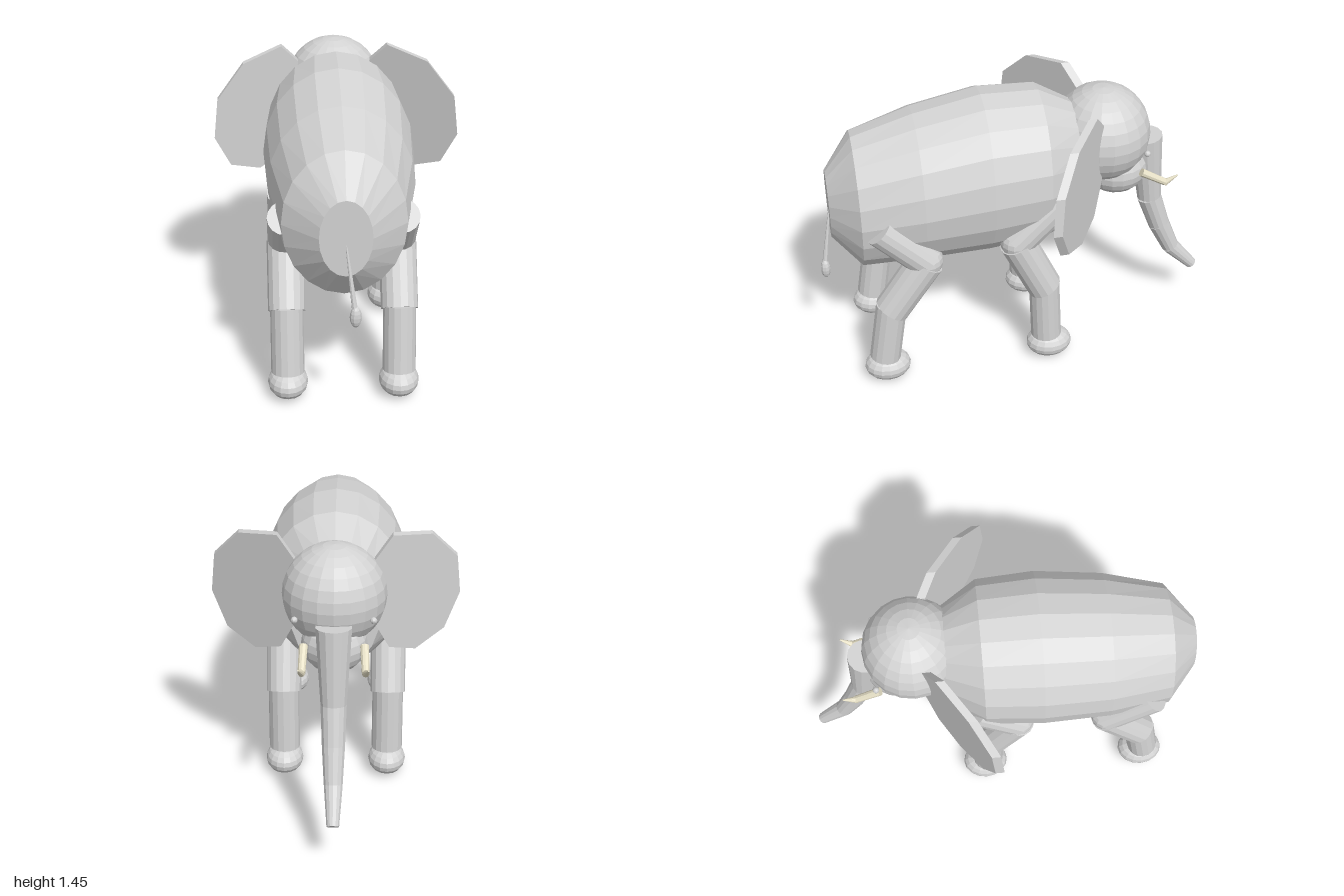
import * as THREE from 'three';

const skin = new THREE.MeshStandardMaterial({ color: 0xd3d3d3 });
skin.name = 'grey skin';
const ivory = new THREE.MeshStandardMaterial({ color: 0xfff8dc });
ivory.name = 'ivory';

const V = (x, y, z) => new THREE.Vector3(x, y, z);

// Faceted mesh: split vertices so that every face has its own normal
function facet(parent, name, geometry, material = skin) {
  const g = geometry.index ? geometry.toNonIndexed() : geometry;
  g.computeVertexNormals();
  const mesh = new THREE.Mesh(g, material);
  mesh.name = name;
  parent.add(mesh);
  return mesh;
}

// Tapered cylinder from point a (radius ra) to point b (radius rb)
function limb(parent, name, a, b, ra, rb, sides = 16, material = skin) {
  const dir = b.clone().sub(a);
  const mesh = facet(parent, name, new THREE.CylinderGeometry(rb, ra, dir.length(), sides), material);
  mesh.position.copy(a).add(b).multiplyScalar(0.5);
  mesh.quaternion.setFromUnitVectors(V(0, 1, 0), dir.normalize());
}

function ellipsoid(parent, name, center, rx, ry, rz, w = 16, h = 10) {
  const mesh = facet(parent, name, new THREE.SphereGeometry(1, w, h).scale(rx, ry, rz));
  mesh.position.copy(center);
}

// Barrel body lofted through elliptical rings, closed at both ends
function bodyGeometry() {
  // z, half width, top, bottom
  const rings = [
    [0.935, 0.12, 1.12, 0.75], [0.80, 0.285, 1.30, 0.59], [0.50, 0.345, 1.39, 0.605],
    [0.17, 0.365, 1.455, 0.615], [-0.11, 0.345, 1.445, 0.64], [-0.30, 0.22, 1.34, 0.69],
  ];
  const n = 20, pos = [], idx = [];
  for (const [z, rx, top, bottom] of rings) {
    for (let i = 0; i < n; i++) {
      const a = (i / n) * Math.PI * 2;
      pos.push(rx * Math.sin(a), (top + bottom) / 2 + ((top - bottom) / 2) * Math.cos(a), z);
    }
  }
  for (let r = 0; r < rings.length - 1; r++) {
    for (let i = 0; i < n; i++) {
      const a = r * n + i, b = r * n + ((i + 1) % n);
      idx.push(a, b, a + n, b, b + n, a + n);
    }
  }
  const last = (rings.length - 1) * n;
  for (let i = 1; i < n - 1; i++) {
    idx.push(0, i + 1, i);
    idx.push(last, last + i, last + i + 1);
  }
  const g = new THREE.BufferGeometry();
  g.setAttribute('position', new THREE.Float32BufferAttribute(pos, 3));
  g.setIndex(idx);
  return g;
}

// Ear plate slanting backwards as it leaves the head; side is +1 or -1
function addEar(parent, side) {
  const depth = 0.043, slant = 0.714;
  const outline = [
    [-0.12, 0.315], [0.07, 0.27], [0.2, 0.115], [0.22, -0.08], [0.145, -0.25],
    [0, -0.315], [-0.13, -0.26], [-0.205, -0.1], [-0.22, 0.09], [-0.205, 0.215],
  ];
  const pts = outline.map(([x, y]) => new THREE.Vector2(side * x, y));
  const g = new THREE.ExtrudeGeometry(new THREE.Shape(pts), { depth, bevelEnabled: false });
  g.translate(0, 0, -depth / 2);
  g.applyMatrix4(new THREE.Matrix4().set(1, 0, 0, 0, 0, 1, 0, 0, side * slant, 0, 1, 0, 0, 0, 0, 1));
  const ear = facet(parent, side > 0 ? 'leftEar' : 'rightEar', g);
  ear.position.set(side * 0.39, 1.1, -0.225);
}

// Three-part leg with a rounded foot; joints are [y, z] from the top down
function addLeg(parent, name, x, hip, knee, ankleTop, ankle, foot) {
  const leg = new THREE.Group();
  leg.name = name;
  const P = ([y, z]) => V(x, y, z);
  limb(leg, 'upperLeg', P(hip), P(knee), 0.083, 0.085);
  ellipsoid(leg, 'knee', P(knee), 0.083, 0.083, 0.083);
  limb(leg, 'middleLeg', P(knee), P(ankleTop), 0.09, 0.088);
  limb(leg, 'lowerLeg', P([ankleTop[0] + 0.03, ankleTop[1]]), P(ankle), 0.078, 0.079);
  ellipsoid(leg, 'foot', P(foot), 0.096, 0.075, 0.117);
  parent.add(leg);
}

export function createModel() {
  const model = new THREE.Group();
  model.name = 'elephant';

  facet(model, 'body', bodyGeometry());

  // Head and jaw
  ellipsoid(model, 'head', V(0, 1.17, -0.435), 0.245, 0.245, 0.24, 20, 14);
  ellipsoid(model, 'jaw', V(0, 0.955, -0.515), 0.155, 0.138, 0.16, 18, 12);

  // Trunk of tapering segments: y, z, radius
  const trunk = [
    [1.11, -0.665, 0.085], [0.735, -0.706, 0.062], [0.55, -0.77, 0.055],
    [0.385, -0.845, 0.045], [0.24, -0.975, 0.03],
  ];
  for (let i = 0; i < trunk.length - 1; i++) {
    const [ya, za, ra] = trunk[i], [yb, zb, rb] = trunk[i + 1];
    limb(model, 'trunkSegment' + (i + 1), V(0, ya, za), V(0, yb, zb), ra, rb, 14);
  }

  // Paired parts
  for (const s of [1, -1]) {
    const side = s > 0 ? 'left' : 'right';
    addEar(model, s);
    ellipsoid(model, side + 'Eye', V(s * 0.18, 1.12, -0.62), 0.016, 0.016, 0.016, 10, 8);

    limb(model, side + 'TuskBase', V(s * 0.14, 0.985, -0.61), V(s * 0.145, 0.912, -0.735), 0.021, 0.018, 10, ivory);
    limb(model, side + 'TuskTip', V(s * 0.145, 0.908, -0.73), V(s * 0.158, 0.955, -0.795), 0.018, 0.003, 10, ivory);

    addLeg(model, side + 'FrontLeg', s * 0.265, [0.97, -0.16], [0.755, 0.05], [0.455, -0.09], [0.14, -0.105], [0.08, -0.12]);
    addLeg(model, side + 'HindLeg', s * 0.265, [0.94, 0.72], [0.715, 0.5], [0.44, 0.685], [0.14, 0.735], [0.08, 0.725]);
  }

  // Tail with tuft
  limb(model, 'tail', V(0, 0.91, 0.93), V(0.038, 0.6, 0.98), 0.004, 0.014, 8);
  ellipsoid(model, 'tailTuft', V(0.041, 0.57, 0.98), 0.027, 0.053, 0.025, 10, 8);

  return model;
}
